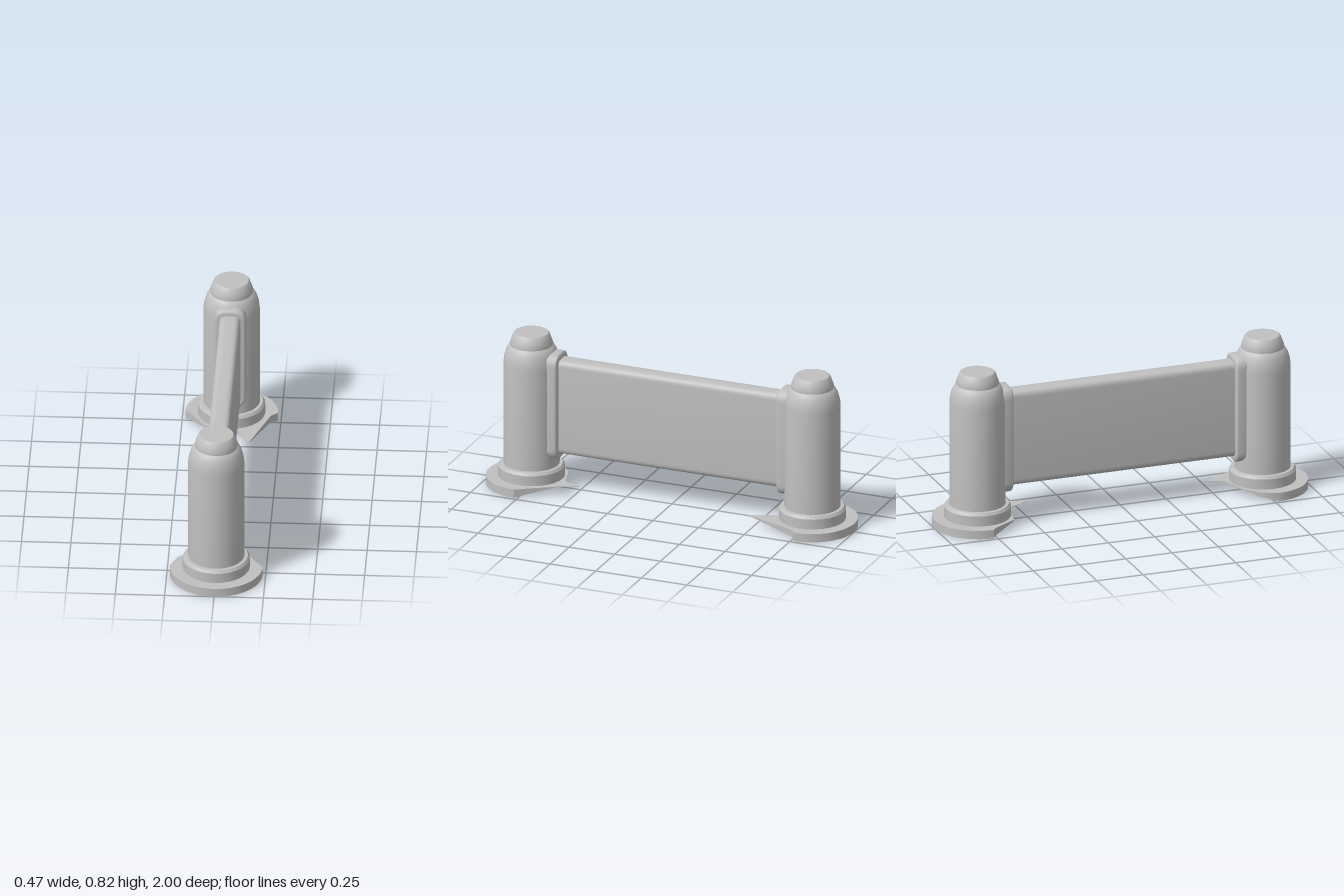
import * as THREE from 'three';
import { toCreasedNormals } from 'three/addons/utils/BufferGeometryUtils.js';

const POST_Z = 0.77;

// Upright rounded rectangle, centred on x = 0
function roundedRect(w, y0, y1, r) {
  const s = new THREE.Shape(), h = w / 2;
  s.moveTo(-h + r, y0);
  s.lineTo(h - r, y0);
  s.quadraticCurveTo(h, y0, h, y0 + r);
  s.lineTo(h, y1 - r);
  s.quadraticCurveTo(h, y1, h - r, y1);
  s.lineTo(-h + r, y1);
  s.quadraticCurveTo(-h, y1, -h, y1 - r);
  s.lineTo(-h, y0 + r);
  s.quadraticCurveTo(-h, y0, -h + r, y0);
  return s;
}

// Foot plate: round outside, broken inner edge whose underside rises to the top face
function footGeometry(side, innerEdge) {
  const pts = [];
  for (let i = 0; i <= 18; i++) {
    const a = (i / 18) * Math.PI;
    pts.push([0.235 * Math.cos(a), POST_Z + 0.23 * Math.sin(a)]);
  }
  pts.push(...innerEdge);
  const shape = new THREE.Shape(pts.map(([x, z]) => new THREE.Vector2(x, -z * side)));
  const g = new THREE.ExtrudeGeometry(shape, { depth: 0.045, bevelEnabled: false });
  g.rotateX(-Math.PI / 2);
  const p = g.attributes.position;
  for (let i = 0; i < p.count; i++) {
    const inward = POST_Z - Math.abs(p.getZ(i));
    if (p.getY(i) < 0.02) p.setY(i, THREE.MathUtils.clamp(inward * 0.26, 0, 0.043));
  }
  return toCreasedNormals(g, 0.6);
}

export function createModel() {
  const group = new THREE.Group();
  const grey = new THREE.MeshStandardMaterial({ color: 0xc0c0c0 });
  grey.name = 'plain grey';

  const add = (name, geometry, z = 0) => {
    const mesh = new THREE.Mesh(geometry, grey);
    mesh.name = name;
    mesh.position.z = z;
    group.add(mesh);
    return mesh;
  };
  const lathe = (profile) => toCreasedNormals(
    new THREE.LatheGeometry(profile.map(([r, y]) => new THREE.Vector2(r, y)), 28), 0.5);

  const collar = lathe([[0, 0.044], [0.17, 0.044], [0.17, 0.098], [0.16, 0.112], [0.13, 0.114]]);
  const post = lathe([[0.143, 0.11], [0.143, 0.655], [0.139, 0.69], [0.129, 0.725],
    [0.118, 0.745], [0.108, 0.754], [0, 0.754]]);
  const cap = lathe([[0.108, 0.752], [0.109, 0.765], [0.102, 0.785], [0.092, 0.812], [0.086, 0.818], [0, 0.819]]);

  const innerEdges = {
    1: [[-0.2, 0.69], [-0.1, 0.61], [0.03, 0.57], [0.06, 0.48], [0.11, 0.58], [0.2, 0.72]],
    [-1]: [[-0.21, 0.75], [-0.13, 0.62], [0.04, 0.59], [0.1, 0.46], [0.2, 0.74]],
  };

  // Rounded mounting plate between post and panel
  const plate = new THREE.ExtrudeGeometry(roundedRect(0.13, 0.18, 0.715, 0.045),
    { depth: 0.06, bevelThickness: 0.012, bevelSize: 0.015, bevelSegments: 3, curveSegments: 6 });
  plate.translate(0, 0, -0.03);
  const plateGeometry = toCreasedNormals(plate, 0.6);

  for (const side of [1, -1]) {
    const end = side > 0 ? 'front' : 'back';
    add(end + 'Foot', footGeometry(side, innerEdges[side]));
    add(end + 'Collar', collar, side * POST_Z);
    add(end + 'Post', post, side * POST_Z);
    add(end + 'Cap', cap, side * POST_Z);
    add(end + 'MountingPlate', plateGeometry, side * 0.643);
  }

  // Long panel between the posts
  const panel = new THREE.ExtrudeGeometry(roundedRect(0.106, 0.195, 0.702, 0.035),
    { depth: 1.26, bevelEnabled: false, curveSegments: 6 });
  panel.translate(0, 0, -0.63);
  add('panel', toCreasedNormals(panel, 0.6));

  return group;
}
